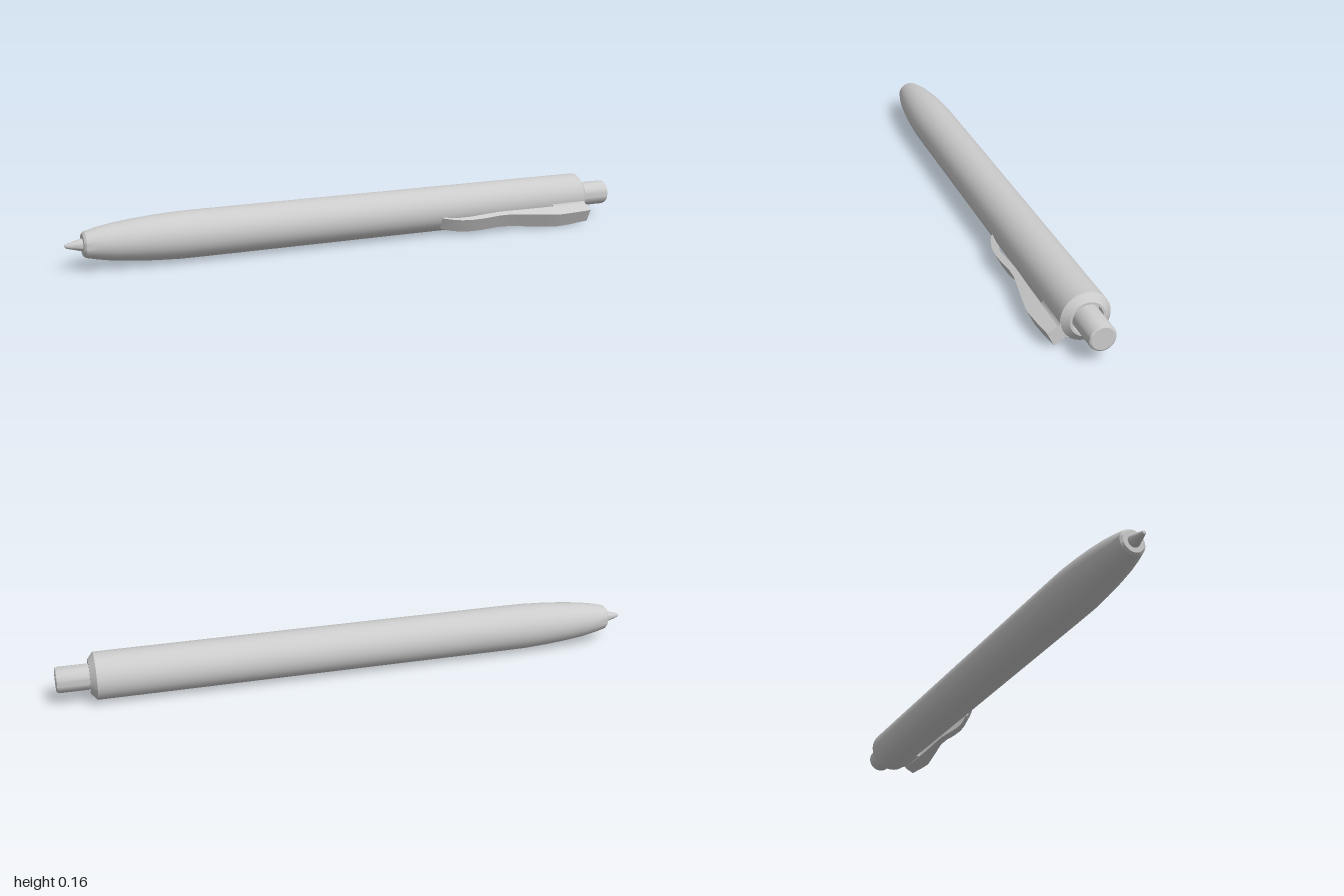
import * as THREE from 'three';
import { toCreasedNormals } from 'three/addons/utils/BufferGeometryUtils.js';

const material = new THREE.MeshStandardMaterial({ color: 0xcccccc });

function part(name, geometry, crease = 0.5) {
  const mesh = new THREE.Mesh(toCreasedNormals(geometry, crease), material);
  mesh.name = name;
  return mesh;
}

// Turned part along x; profile is [x, radius] from the nose to the rear
function turned(name, profile, segments = 32) {
  const points = profile.map(([x, r]) => new THREE.Vector2(r, x));
  const geometry = new THREE.LatheGeometry(points, segments);
  geometry.rotateZ(-Math.PI / 2);
  return part(name, geometry);
}

// Rectangular sections [x, inner, outer, halfWidth] joined along x
function loft(sections) {
  const positions = [];
  const index = [];
  for (const [x, inner, outer, h] of sections) {
    positions.push(x, h, inner, x, h, outer, x, -h, outer, x, -h, inner);
  }
  for (let i = 0; i < sections.length - 1; i++) {
    for (let j = 0; j < 4; j++) {
      const a = i * 4 + j;
      const b = i * 4 + (j + 1) % 4;
      index.push(a, b, b + 4, a, b + 4, a + 4);
    }
  }
  const e = (sections.length - 1) * 4;
  index.push(0, 2, 1, 0, 3, 2, e, e + 1, e + 2, e, e + 2, e + 3);
  const geometry = new THREE.BufferGeometry();
  geometry.setAttribute('position', new THREE.Float32BufferAttribute(positions, 3));
  geometry.setIndex(index);
  return geometry;
}

export function createModel() {
  const pen = new THREE.Group();
  pen.name = 'pen';

  // Barrel with tapered nose, bevelled rear rim and a recess for the button
  pen.add(turned('barrel', [
    [-0.945, 0], [-0.945, 0.036], [-0.938, 0.043], [-0.9, 0.052], [-0.85, 0.061],
    [-0.78, 0.069], [-0.71, 0.0745], [-0.63, 0.0785], [-0.55, 0.079], [0.873, 0.079],
    [0.892, 0.056], [0.892, 0.049], [0.86, 0.049], [0.86, 0],
  ]));

  // Writing tip
  pen.add(turned('writingTip', [
    [-0.95, 0], [-1, 0], [-1, 0.005], [-0.994, 0.008], [-0.95, 0.02], [-0.94, 0.021],
  ].slice(1), 20));

  // Push button
  pen.add(turned('pushButton', [
    [0.86, 0.043], [0.991, 0.043], [0.997, 0.041], [1, 0.036], [1, 0],
  ]));

  // Pocket clip, built facing +z and turned down around the barrel
  const clip = new THREE.Group();
  clip.name = 'pocketClip';
  clip.add(part('clipArm', loft([
    [0.295, 0.076, 0.081, 0.023], [0.32, 0.083, 0.093, 0.025], [0.36, 0.09, 0.104, 0.026],
    [0.4, 0.09, 0.108, 0.0265], [0.45, 0.086, 0.107, 0.027], [0.51, 0.081, 0.101, 0.027],
    [0.56, 0.081, 0.102, 0.0275], [0.62, 0.083, 0.112, 0.028], [0.68, 0.084, 0.122, 0.0285],
    [0.74, 0.084, 0.131, 0.0285], [0.8, 0.084, 0.128, 0.0275], [0.875, 0.084, 0.121, 0.025],
  ])));

  // Flared neck joining the rear of the arm to the barrel
  const half = [[0.05, 0.045], [0.06, 0.044], [0.069, 0.033], [0.078, 0.024], [0.09, 0.022]];
  const outline = [
    ...half.map(([u, v]) => new THREE.Vector2(-u, v)),
    ...half.map(([u, v]) => new THREE.Vector2(-u, -v)).reverse(),
  ];
  const neck = new THREE.ExtrudeGeometry(new THREE.Shape(outline), { depth: 0.135, bevelEnabled: false });
  neck.rotateY(Math.PI / 2);
  neck.translate(0.739, 0, 0);
  clip.add(part('clipNeck', neck, 0.8));
  clip.rotation.x = THREE.MathUtils.degToRad(27);
  pen.add(clip);

  pen.position.set(0, 0.0865, -0.025);
  const model = new THREE.Group();
  model.add(pen);
  return model;
}
